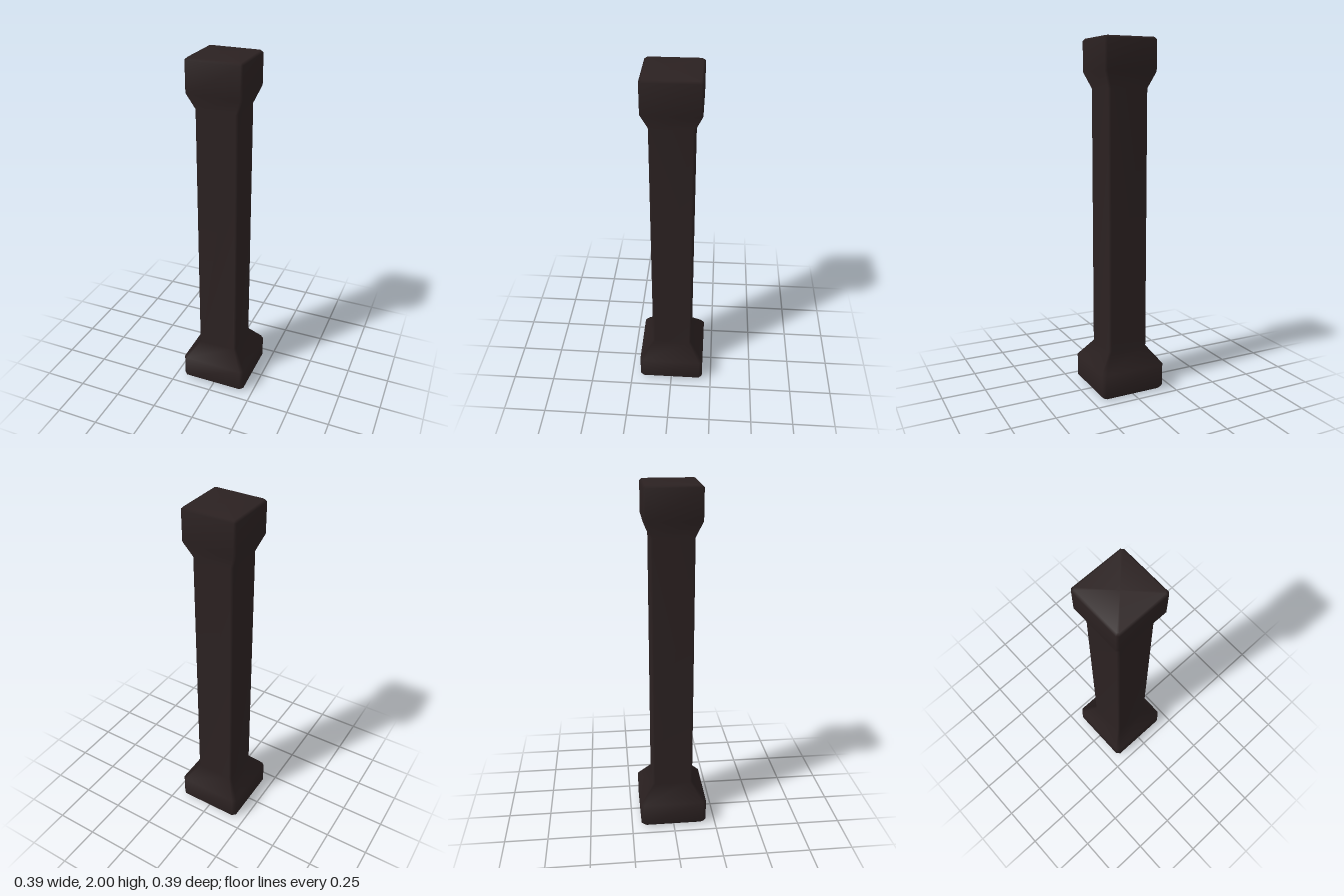
import * as THREE from 'three';

// Square cross-section with clipped corners, counter-clockwise seen from above
function section(half, clip) {
  const a = half, b = half - clip;
  return [[a, b], [a, -b], [b, -a], [-b, -a], [-a, -b], [-a, b], [-b, a], [b, a]];
}

export function createModel() {
  const group = new THREE.Group();
  const darkWood = new THREE.MeshStandardMaterial({ color: 0x2b2121 });
  darkWood.name = 'darkWood';

  // Height, half width, corner clip: foot, shaft, cap
  const rings = [
    [0, 0.175, 0.012], [0.02, 0.195, 0.02], [0.15, 0.195, 0.02],
    [0.25, 0.118, 0.012], [1.73, 0.118, 0.012],
    [1.82, 0.155, 0.012], [1.988, 0.155, 0.012], [2, 0.143, 0.008],
  ];
  const positions = [], index = [], n = 8;
  for (const [y, half, clip] of rings) {
    for (const [x, z] of section(half, clip)) positions.push(x, y, z);
  }

  // Walls between neighbouring rings
  for (let r = 0; r < rings.length - 1; r++) {
    for (let i = 0; i < n; i++) {
      const a = r * n + i, b = r * n + (i + 1) % n;
      index.push(a, b, b + n, a, b + n, a + n);
    }
  }

  // Flat ends closed by fans around a centre point
  const bottom = positions.length / 3, top = bottom + 1, last = (rings.length - 1) * n;
  positions.push(0, 0, 0, 0, 2, 0);
  for (let i = 0; i < n; i++) {
    const j = (i + 1) % n;
    index.push(bottom, j, i, top, last + i, last + j);
  }

  const geometry = new THREE.BufferGeometry();
  geometry.setAttribute('position', new THREE.Float32BufferAttribute(positions, 3));
  geometry.setIndex(index);
  geometry.computeVertexNormals();

  const post = new THREE.Mesh(geometry, darkWood);
  post.name = 'post';
  group.add(post);
  return group;
}
